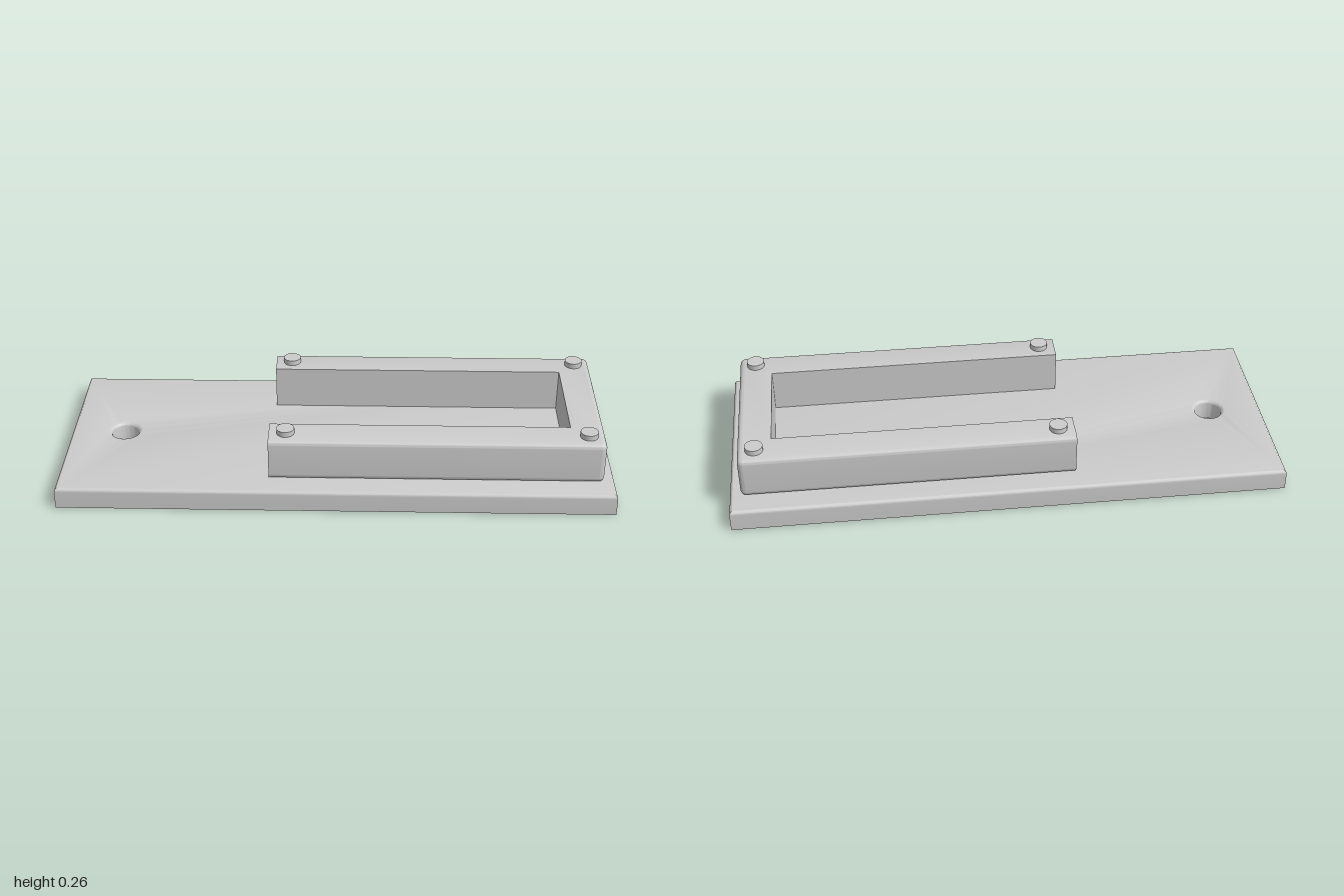
import * as THREE from 'three';
import { mergeGeometries, toCreasedNormals } from 'three/addons/utils/BufferGeometryUtils.js';

const material = new THREE.MeshStandardMaterial({ color: 0xcccccc });
const CREASE = 0.4;

function geometryFrom(positions) {
  const g = new THREE.BufferGeometry();
  g.setAttribute('position', new THREE.Float32BufferAttribute(positions, 3));
  g.computeVertexNormals();
  return g;
}

function addMesh(group, geometry, name) {
  const mesh = new THREE.Mesh(geometry, material);
  mesh.name = name;
  group.add(mesh);
  return mesh;
}

// Flat plate with a through hole; top edges and hole lip are filleted, the underside is sharp
function plateGeometry(height, r) {
  const shape = new THREE.Shape([[-1, -0.4], [1, -0.4], [1, 0.4], [-1, 0.4]].map(p => new THREE.Vector2(...p)));
  const hole = new THREE.Path();
  hole.absarc(-0.8, 0, 0.05, 0, Math.PI * 2, true);
  shape.holes.push(hole);

  const solid = new THREE.ExtrudeGeometry(shape, {
    depth: height - r, bevelThickness: r, bevelSize: r, bevelOffset: -r, bevelSegments: 10, curveSegments: 24,
  });
  // Drop the lower bevel and close the underside with a flat face
  const src = solid.getAttribute('position').array;
  const kept = [];
  for (let i = 0; i < src.length; i += 9) {
    if (Math.max(src[i + 2], src[i + 5], src[i + 8]) > 1e-5) kept.push(...src.slice(i, i + 9));
  }
  const under = new THREE.ShapeGeometry(shape, 24).toNonIndexed().getAttribute('position').array;
  for (let i = 0; i < under.length; i += 9) {
    for (const k of [0, 6, 3]) kept.push(...under.slice(i + k, i + k + 3));
  }
  return toCreasedNormals(geometryFrom(kept).rotateX(-Math.PI / 2), CREASE);
}

// U-shaped frame open towards -x: outer edges filleted, inner edges and arm ends sharp
function frameGeometry(y0, y1, r) {
  const steps = 10;
  // Each station: inner corner, fillet centre and outward direction in plan (x, z)
  const stations = [{ inner: [-0.24, 0.2], centre: [-0.24, 0.32 - r], dir: [0, 1] }];
  for (const side of [1, -1]) {
    for (let i = 0; i <= steps; i++) {
      const a = (side > 0 ? i : steps - i) / steps * Math.PI / 2;
      stations.push({
        inner: [0.84, 0.2 * side],
        centre: [0.96 - r, (0.32 - r) * side],
        dir: [Math.sin(a), Math.cos(a) * side],
      });
    }
  }
  stations.push({ inner: [-0.24, -0.2], centre: [-0.24, r - 0.32], dir: [0, -1] });

  // Closed cross-section: inner bottom, lower fillet, upper fillet, inner top
  const rings = stations.map(({ inner, centre, dir }) => {
    const ring = [[inner[0], y0, inner[1]]];
    for (const [from, yc] of [[-Math.PI / 2, y0 + r], [0, y1 - r]]) {
      for (let i = 0; i <= steps; i++) {
        const a = from + i / steps * Math.PI / 2;
        const d = r * Math.cos(a);
        ring.push([centre[0] + dir[0] * d, yc + r * Math.sin(a), centre[1] + dir[1] * d]);
      }
    }
    ring.push([inner[0], y1, inner[1]]);
    return ring;
  });

  const positions = [];
  const triangle = (...pts) => {
    const [a, b, c] = pts.map(p => new THREE.Vector3(...p));
    if (b.sub(a).cross(c.sub(a)).length() > 1e-9) positions.push(...pts.flat());
  };
  const n = rings[0].length;
  for (let i = 0; i < rings.length - 1; i++) {
    for (let j = 0; j < n; j++) {
      const k = (j + 1) % n;
      triangle(rings[i][j], rings[i + 1][j], rings[i + 1][k]);
      triangle(rings[i][j], rings[i + 1][k], rings[i][k]);
    }
  }
  // Flat ends of the two arms
  const first = rings[0], last = rings[rings.length - 1];
  for (let j = 1; j < n - 1; j++) {
    triangle(first[0], first[j], first[j + 1]);
    triangle(last[0], last[j + 1], last[j]);
  }
  return toCreasedNormals(geometryFrom(positions), CREASE);
}

export function createModel() {
  const model = new THREE.Group();
  model.name = 'mountingPlate';

  addMesh(model, plateGeometry(0.08, 0.015), 'basePlate');
  addMesh(model, frameGeometry(0.08, 0.24, 0.02), 'uFrame');

  // Four short round studs on top of the frame
  const studGeometry = new THREE.CylinderGeometry(0.032, 0.032, 0.02, 40);
  for (const x of [-0.18, 0.9]) {
    for (const z of [-0.26, 0.26]) {
      addMesh(model, studGeometry, 'stud').position.set(x, 0.25, z);
    }
  }
  return model;
}
